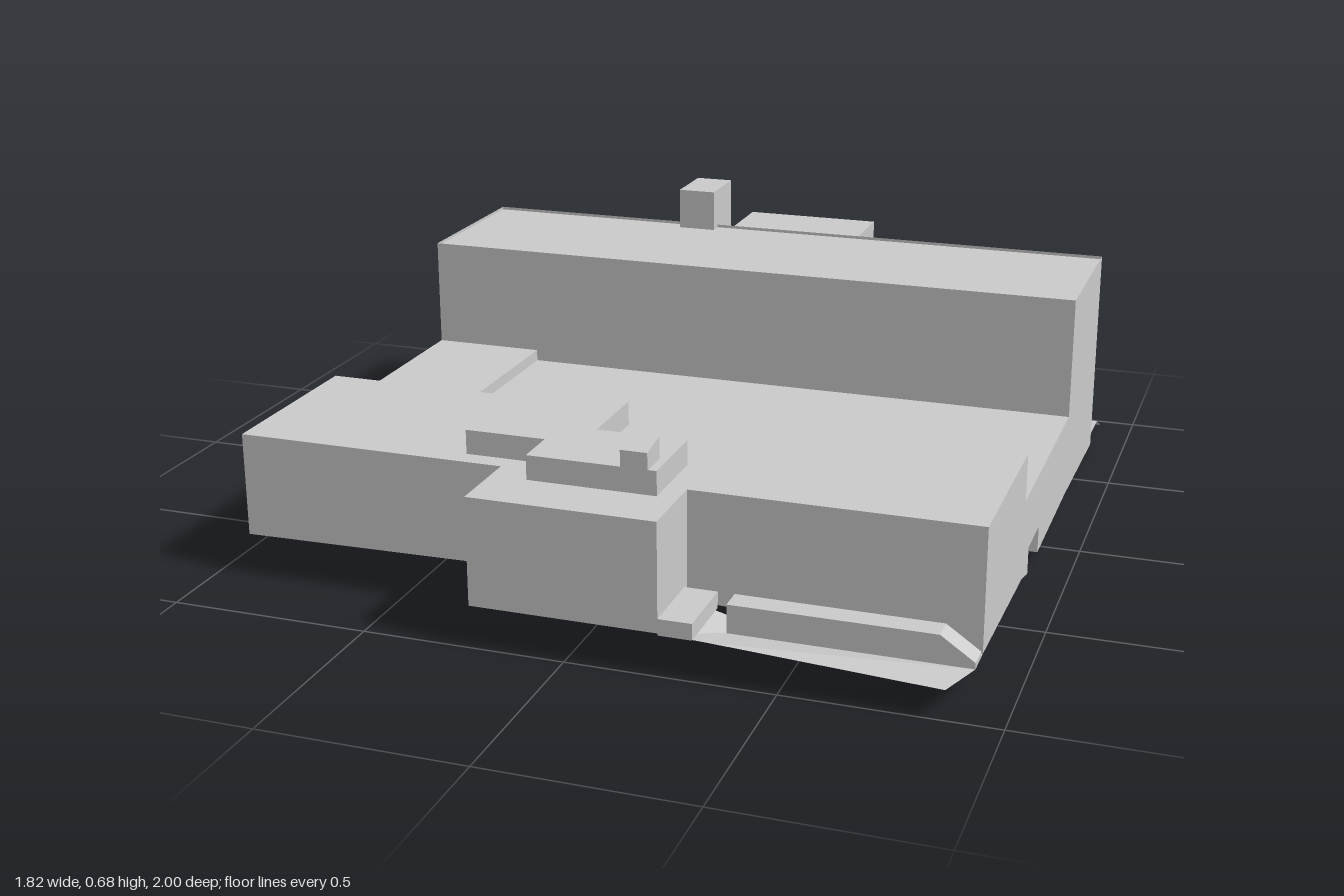
import * as THREE from 'three';

const material = new THREE.MeshStandardMaterial({ color: 0xcccccc, flatShading: true, side: THREE.DoubleSide });

export function createModel() {
  const model = new THREE.Group();

  const add = (name, geometry) => {
    const mesh = new THREE.Mesh(geometry, material);
    mesh.name = name;
    model.add(mesh);
    return mesh;
  };

  // Sheet of quads between rows of [x, y, z] points
  const sheet = (name, rows) => {
    const position = [];
    for (let r = 0; r < rows.length - 1; r++) {
      for (let i = 0; i < rows[r].length - 1; i++) {
        const a = rows[r][i], b = rows[r][i + 1], c = rows[r + 1][i + 1], d = rows[r + 1][i];
        position.push(...a, ...b, ...c, ...a, ...c, ...d);
      }
    }
    const geometry = new THREE.BufferGeometry();
    geometry.setAttribute('position', new THREE.Float32BufferAttribute(position, 3));
    geometry.computeVertexNormals();
    return add(name, geometry);
  };

  // Upright wall along [x, z, bottom] points; counter-clockwise seen from above faces outward
  const wall = (name, path, top) => sheet(name, [
    path.map(([x, z, bottom]) => [x, bottom, z]),
    path.map(([x, z]) => [x, top, z]),
  ]);

  // Level roof from [x, z] corners, with optional openings
  const roof = (name, corners, y, holes = []) => {
    const flat = (points) => points.map(([x, z]) => new THREE.Vector2(x, -z));
    const shape = new THREE.Shape(flat(corners));
    holes.forEach((hole) => shape.holes.push(new THREE.Path(flat(hole))));
    add(name, new THREE.ShapeGeometry(shape).rotateX(-Math.PI / 2).translate(0, y, 0));
  };

  const rect = (x0, x1, z0, z1) => [[x0, z1], [x1, z1], [x1, z0], [x0, z0]];

  // Walls on a closed outline plus a roof, open underneath
  const tower = (name, corners, bottom, top) => {
    wall(name + 'Walls', [...corners, corners[0]].map(([x, z]) => [x, z, bottom]), top);
    roof(name + 'Roof', corners, top);
  };

  const W = 0.91;

  // Side walls: stepped outline with a small doorway in the base
  const sideWall = (name, x, frontBottom, kneeBottom, sillBottom, backBottom, middleTop) => {
    const outline = [
      [0.8, frontBottom], [0.33, kneeBottom], [0.25, sillBottom], [0.25, 0.1], [0.11, 0.1], [0.11, 0.03],
      [-0.3, 0.03], [-0.76, backBottom], [-0.76, 0.57], [-0.3, 0.57], [-0.3, middleTop],
      [0.33, middleTop], [0.33, 0.37], [0.8, 0.37],
    ];
    const shape = new THREE.Shape(outline.map(([z, y]) => new THREE.Vector2(-z, y)));
    add(name, new THREE.ShapeGeometry(shape).rotateY(Math.PI / 2).translate(x, 0, 0));
    // Recess behind the doorway
    const inner = x - Math.sign(x) * 0.08;
    wall(name + 'Recess', [[x, 0.25, 0.03], [inner, 0.25, 0.03], [inner, 0.11, 0.03], [x, 0.11, 0.03]], 0.1);
    roof(name + 'RecessCeiling', rect(Math.min(x, inner), Math.max(x, inner), 0.11, 0.25), 0.1);
  };
  sideWall('leftWall', W, 0.07, 0.05, 0.03, 0.012, 0.25);
  sideWall('rightWall', -W, 0.11, 0.07, 0.05, 0.045, 0.28);

  // Front wall with projecting entrance bay
  wall('frontWall', [
    [-W, 0.8, 0.11], [-0.23, 0.8, 0.12], [-0.23, 1, 0.105], [0.225, 1, 0.105], [0.225, 0.8, 0.1], [W, 0.8, 0.07],
  ], 0.37);

  // Front roof, open under the penthouse
  const penthouse = [
    [-0.34, 0.75], [-0.14, 0.75], [-0.14, 0.86], [0.175, 0.86],
    [0.175, 0.65], [-0.05, 0.65], [-0.05, 0.44], [-0.34, 0.44],
  ];
  roof('frontRoof', [
    [-W, 0.8], [-0.23, 0.8], [-0.23, 1], [0.225, 1], [0.225, 0.8], [W, 0.8], [W, 0.33], [-W, 0.33],
  ], 0.37, [penthouse]);
  tower('penthouse', penthouse, 0.37, 0.43);

  // Vent box with a slightly sloping top
  const vent = rect(0.09, 0.155, 0.785, 0.865);
  const ventLoop = [...vent, vent[0]];
  const ventTop = ([x, z]) => [x, z > 0.8 ? 0.472 : 0.484, z];
  sheet('ventWalls', [ventLoop.map(([x, z]) => [x, 0.43, z]), ventLoop.map(ventTop)]);
  sheet('ventTop', [[ventTop(vent[0]), ventTop(vent[1])], [ventTop(vent[3]), ventTop(vent[2])]]);

  // Middle roof in two levels, with the risers to the blocks either side
  roof('middleRoof', rect(-0.61, W, -0.3, 0.33), 0.25, [rect(-0.33, 0.5, 0.08, 0.18)]);
  roof('raisedMiddleRoof', rect(-W, -0.61, -0.3, 0.33), 0.28);
  wall('middleStep', [[-0.61, 0.33, 0.25], [-0.61, -0.3, 0.25]], 0.28);
  wall('frontBlockRiser', [[W, 0.33, 0.25], [-0.61, 0.33, 0.25], [-0.61, 0.33, 0.28], [-W, 0.33, 0.28]], 0.37);
  wall('rearBlockRiser', [[-W, -0.3, 0.28], [-0.61, -0.3, 0.28], [-0.61, -0.3, 0.25], [W, -0.3, 0.25]], 0.57);

  // Low ridged skylight
  sheet('skylight', [[0.18, 0.25], [0.13, 0.26], [0.08, 0.25]].map(([z, y]) => [[-0.33, y, z], [0.5, y, z]]));
  for (const x of [-0.33, 0.5]) {
    sheet('skylightEnd', [[[x, 0.25, 0.18], [x, 0.25, 0.08]], [[x, 0.26, 0.13], [x, 0.26, 0.13]]]);
  }

  // Rear block with its roof set just below the parapet
  roof('rearRoof', rect(-W, W, -0.76, -0.3), 0.562);
  wall('backWall', [[W, -0.76, 0.012], [0.2, -0.76, 0.04], [-W, -0.76, 0.045]], 0.57);
  tower('stairTower', rect(-0.18, 0.2, -0.98, -0.76), 0.035, 0.56);
  tower('chimney', rect(-0.325, -0.22, -0.89, -0.725), 0.042, 0.675);

  // Rear apron, dropping toward the left back corner: [x, outer z, outer y]
  const apron = [
    [-W, -0.9, 0.042], [-0.88, -0.96, 0.037], [-0.79, -1, 0.035], [0.2, -1, 0.032],
    [0.75, -1, 0.007], [0.75, -0.965, 0.015], [W, -0.965, 0],
  ];
  sheet('rearApron', [
    apron.map(([x]) => [x, 0.045, -0.76]),
    apron.map(([x]) => [x, 0.042, -0.88]),
    apron.map(([x, z, y]) => [x, y, z]),
  ]);

  // Front terrace: tilted paving sheet with a clipped corner
  sheet('terracePaving', [
    [[0.225, 0.105, 1], [0.345, 0.1, 1], [0.87, 0.072, 1]],
    [[0.225, 0.1, 0.88], [0.345, 0.07, 0.88], [W, 0.07, 0.88]],
    [[0.225, 0.1, 0.8], [0.345, 0.07, 0.8], [W, 0.07, 0.8]],
  ]);

  // Terrace step beside the entrance bay
  tower('terraceStep', rect(0.225, 0.305, 0.82, 1), 0.1, 0.14);

  // Raised terrace border, tapering at its outer end
  const border = new THREE.Shape([
    [0.345, 0.07], [W, 0.07], [W, 0.085], [0.83, 0.14], [0.345, 0.14],
  ].map(([x, y]) => new THREE.Vector2(x, y)));
  add('terraceBorder', new THREE.ExtrudeGeometry(border, { depth: 0.06, bevelEnabled: false }).translate(0, 0, 0.82));

  return model;
}
